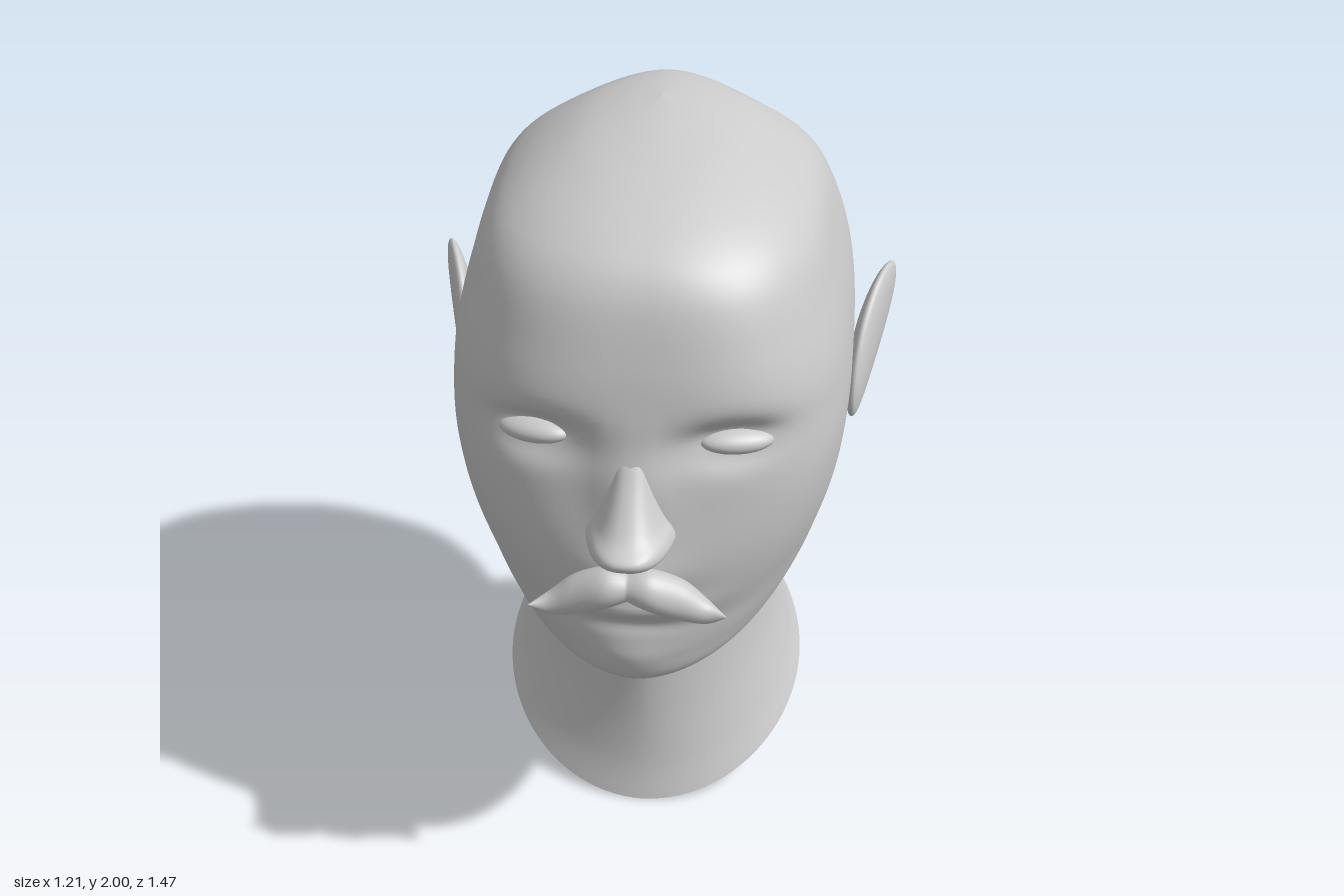
import * as THREE from 'three';

const material = new THREE.MeshStandardMaterial({ color: 0xcccccc });

// Skin closed rings: point(t, u) gives a Vector3, t in 0..1 along, u in 0..2PI around.
function loft(point, nT, nU) {
  const pos = [], index = [];
  for (let i = 0; i <= nT; i++)
    for (let j = 0; j < nU; j++) pos.push(...point(i / nT, (j / nU) * Math.PI * 2).toArray());
  for (let i = 0; i < nT; i++)
    for (let j = 0; j < nU; j++) {
      const k = (j + 1) % nU;
      const a = i * nU + j, b = i * nU + k, c = b + nU, d = a + nU;
      index.push(a, b, c, a, c, d);
    }
  const g = new THREE.BufferGeometry();
  g.setAttribute('position', new THREE.Float32BufferAttribute(pos, 3));
  g.setIndex(index);
  g.computeVertexNormals();
  return g;
}

// Smooth Catmull-Rom sample of a table of rows.
function sample(rows, t) {
  const last = rows.length - 1;
  const i = Math.min(Math.floor(t * last), last - 1), f = t * last - i;
  const at = (k) => rows[Math.max(0, Math.min(last, k))];
  return rows[i].map((p1, c) => {
    const p0 = at(i - 1)[c], p2 = at(i + 1)[c], p3 = at(i + 2)[c];
    return p1 + 0.5 * f * (p2 - p0 + f * (2 * p0 - 5 * p1 + 4 * p2 - p3 + f * (3 * (p1 - p2) + p3 - p0)));
  });
}

// Power of sine or cosine that keeps its sign, for superellipses
const signedPow = (v, e) => Math.sign(v) * Math.abs(v) ** e;

// Tilted rings, neck to crown: front z, front y, back z, back y, half width,
// squareness of the front half and of the back half
const headRings = [
  [0.2, 0, -0.63, 0.44, 0.42, 1.95, 1.95],
  [0.175, 0.12, -0.615, 0.5, 0.38, 1.9, 1.85],
  [0.16, 0.3, -0.59, 0.62, 0.335, 1.8, 1.75],
  [0.16, 0.5, -0.555, 0.8, 0.31, 1.75, 1.75],
  [0.19, 0.62, -0.54, 0.95, 0.308, 1.8, 1.7],
  [0.27, 0.67, -0.55, 1.03, 0.33, 1.85, 1.65],
  [0.42, 0.7, -0.6, 1.08, 0.37, 1.85, 1.6],
  [0.53, 0.735, -0.65, 1.12, 0.405, 1.85, 1.6],
  [0.555, 0.82, -0.7, 1.17, 0.44, 1.95, 1.65],
  [0.56, 0.92, -0.725, 1.23, 0.465, 2.1, 1.8],
  [0.57, 1.03, -0.735, 1.3, 0.485, 2.3, 2.1],
  [0.565, 1.15, -0.735, 1.36, 0.495, 2.6, 2.5],
  [0.55, 1.28, -0.735, 1.42, 0.5, 2.9, 2.9],
  [0.54, 1.4, -0.73, 1.5, 0.495, 3, 3.2],
  [0.54, 1.52, -0.715, 1.58, 0.48, 3, 3.3],
  [0.515, 1.65, -0.68, 1.68, 0.45, 2.9, 3.2],
  [0.46, 1.8, -0.6, 1.79, 0.405, 2.7, 2.9],
  [0.37, 1.885, -0.52, 1.87, 0.33, 2.5, 2.6],
  [0.2, 1.95, -0.42, 1.95, 0.21, 2.3, 2.3],
  [0.0, 1.985, -0.33, 1.985, 0.1, 2, 2],
  [-0.18, 2, -0.18, 2, 0, 2, 2],
];

// Soft facial relief: x, y, width, height, depth
const relief = [
  [0.23, 1.45, 0.11, 0.055, -0.06],   // eye sockets
  [-0.23, 1.45, 0.11, 0.055, -0.06],
  [0.24, 1.435, 0.075, 0.025, 0.02],  // swell around the lids
  [-0.24, 1.435, 0.075, 0.025, 0.02],
  [0, 1.36, 0.085, 0.12, 0.04],       // root of the nose
  [0, 1.18, 0.2, 0.15, 0.025],        // middle of the face
  [0, 1.0, 0.14, 0.035, 0.025],       // lower lip
  [0, 0.93, 0.15, 0.025, -0.012],     // crease below the lip
  [0, 1.11, 0.12, 0.06, 0.025],       // upper lip
  [0, 0.82, 0.09, 0.05, 0.01],        // chin
];

function headPoint(t, u) {
  const [zf, yf, zb, yb, w, nf, nb] = sample(headRings, t);
  const e = 2 / (Math.cos(u) > 0 ? nf : nb);
  const f = (1 + signedPow(Math.cos(u), e)) / 2;
  const lean = -0.02 * Math.max(0, 1 - t * 4);
  const p = new THREE.Vector3(
    lean + w * signedPow(Math.sin(u), e), yb + (yf - yb) * f, zb + (zf - zb) * f);
  // Slight ridge down the middle of the back of the skull
  if (p.z < 0 && p.y > 1) p.z += 0.04 * (1 - Math.exp(-((p.x / 0.16) ** 2))) * Math.max(0, 1 - 2 * f) ** 2;
  if (p.z > 0.25 && p.y > 0.72)
    for (const [x, y, sx, sy, d] of relief)
      p.z += d * Math.exp(-(((p.x - x) / sx) ** 2) - ((p.y - y) / sy) ** 2);
  return p;
}

// Nose from nostrils to bridge: y, half width, front z
const noseRings = [
  [1.19, 0.01, 0.5], [1.185, 0.07, 0.62], [1.2, 0.1, 0.685], [1.222, 0.113, 0.724],
  [1.248, 0.105, 0.732], [1.275, 0.09, 0.69], [1.315, 0.075, 0.65], [1.37, 0.06, 0.605],
  [1.43, 0.05, 0.56], [1.49, 0.045, 0.5],
];

function nosePoint(t, u) {
  const [y, w, z] = sample(noseRings, t);
  return new THREE.Vector3(
    w * signedPow(Math.sin(u), 0.8), y, 0.46 + (z - 0.46) * signedPow(Math.cos(u), 0.8));
}

// Moustache from centre to tip: x, y, z, half height, half depth
const moustacheRings = [
  [0, 1.12, 0.64, 0.036, 0.042], [0.055, 1.112, 0.643, 0.053, 0.05],
  [0.13, 1.078, 0.63, 0.052, 0.045], [0.19, 1.052, 0.635, 0.03, 0.028],
  [0.237, 1.062, 0.665, 0.001, 0.001],
];

function moustachePoint(t, u) {
  const s = t * 2 - 1;
  const [x, y, z, h, d] = sample(moustacheRings, Math.abs(s));
  return new THREE.Vector3(Math.sign(s) * x, y + h * Math.cos(u), z + d * Math.sin(u));
}

// Thin slanted oval that flares away from the head towards its upper back
function earGeometry(side) {
  const g = new THREE.SphereGeometry(1, 40, 24);
  g.rotateZ(-Math.PI / 2);
  const p = g.attributes.position;
  for (let i = 0; i < p.count; i++) {
    const long = p.getY(i) * 0.21, wide = p.getZ(i) * 0.115;
    const back = 0.265 + long * 0.65 - wide * 0.76;
    const y = 1.28 + long * 0.76 + wide * 0.65;
    const q = ((back - 0.1) / 0.33) * 0.75 + ((y - 1.11) / 0.35) * 0.25;
    const flare = 0.505 + 0.1 * Math.max(0, q) ** 1.7;
    p.setXYZ(i, flare + p.getX(i) * 0.033, y, -back);
  }
  if (side < 0) {
    g.scale(-1, 1, 1);
    const idx = g.index.array;
    for (let i = 0; i < idx.length; i += 3) [idx[i], idx[i + 1]] = [idx[i + 1], idx[i]];
  }
  g.computeVertexNormals();
  return g;
}

export function createModel() {
  const group = new THREE.Group();
  const add = (name, geometry) => {
    const mesh = new THREE.Mesh(geometry, material);
    mesh.name = name;
    group.add(mesh);
    return mesh;
  };

  add('headAndNeck', loft(headPoint, 180, 160));

  // Flat slanted cut closing the neck
  const centre = new THREE.Vector3(-0.02, 0.22, -0.215);
  add('neckBase', loft((t, u) => centre.clone().lerp(headPoint(0, u), t), 1, 160));

  add('nose', loft(nosePoint, 48, 48));
  add('moustache', loft(moustachePoint, 64, 28));

  for (const [side, label] of [[1, 'left'], [-1, 'right']]) {
    add(label + 'Ear', earGeometry(side));
    const lid = add(label + 'Eyelid', new THREE.SphereGeometry(1, 32, 20));
    lid.scale.set(0.09, 0.03, 0.042);
    lid.position.set(side * 0.24, 1.438, 0.468);
    lid.rotation.set(0, side * 0.3, side * -0.06);
  }
  return group;
}
